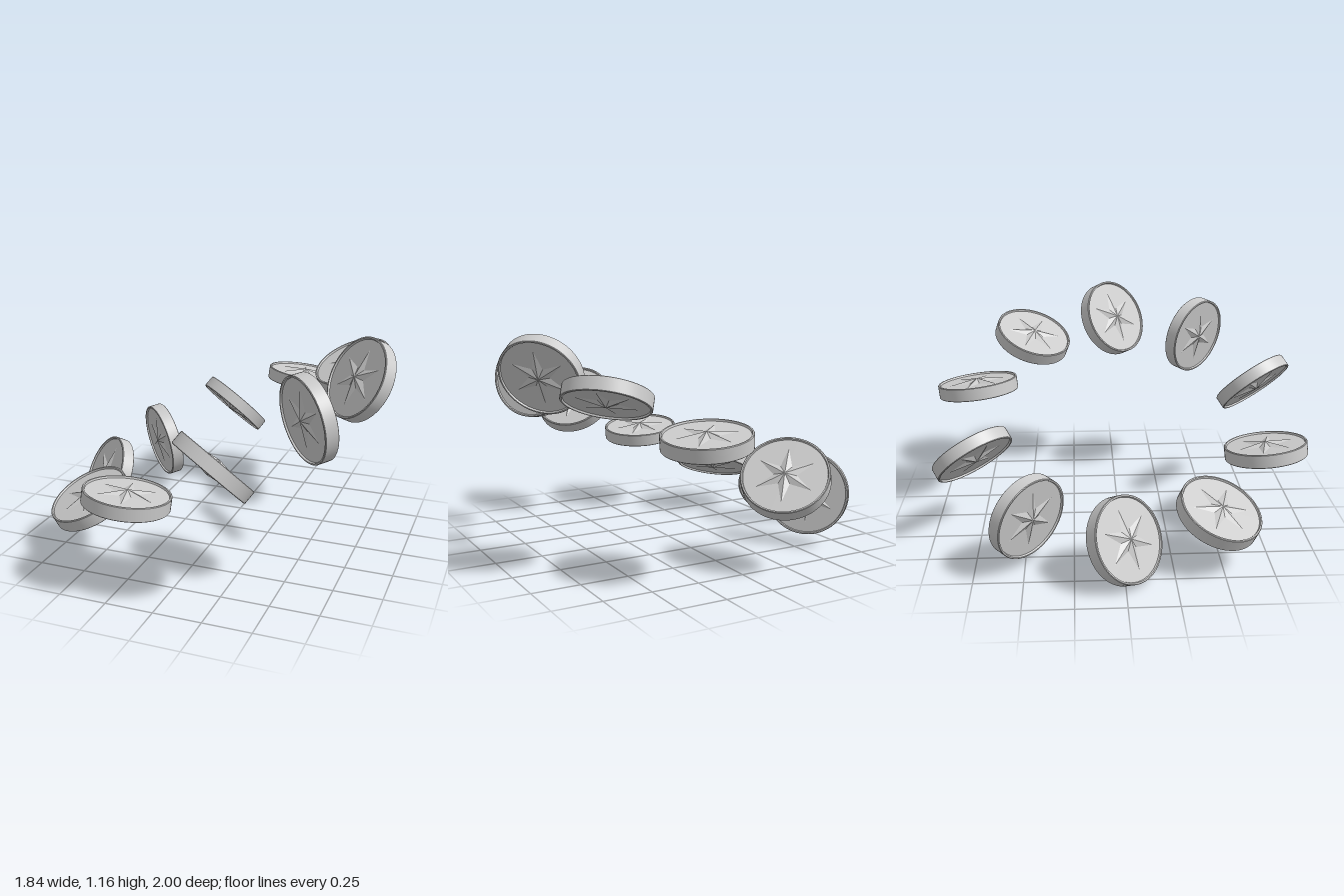
import * as THREE from 'three';
import { toCreasedNormals } from 'three/addons/utils/BufferGeometryUtils.js';

const COUNT = 10, STEP = Math.PI * 2 / COUNT;
const RADIUS = 0.22, HALF = 0.036, FACE = 0.026, LIP = 0.207;
const material = new THREE.MeshStandardMaterial({ color: 0xcccccc });

// Disc with a thin raised lip around a recessed face on both sides
function discGeometry() {
  const profile = [
    [0, -FACE], [LIP, -FACE], [LIP + 0.003, -HALF], [RADIUS - 0.003, -HALF], [RADIUS, -HALF + 0.003],
    [RADIUS, HALF - 0.003], [RADIUS - 0.003, HALF], [LIP + 0.003, HALF], [LIP, FACE], [0, FACE],
  ].map(([r, y]) => new THREE.Vector2(r, y));
  return toCreasedNormals(new THREE.LatheGeometry(profile, 64), 0.5);
}

// Faceted six-pointed star: a cone whose alternate base corners are drawn in
function starGeometry(outer, inner, height) {
  const cone = new THREE.ConeGeometry(1, height, 12, 1, true);
  const pos = cone.attributes.position;
  for (let i = 0; i < pos.count; i++) {
    const r = (i % 13) % 2 === 0 ? outer : inner;
    pos.setXYZ(i, pos.getX(i) * r, pos.getY(i) + height / 2 + FACE, pos.getZ(i) * r);
  }
  const star = cone.toNonIndexed();
  star.computeVertexNormals();
  return star;
}

export function createModel() {
  const model = new THREE.Group();
  model.name = 'coinRing';
  const disc = discGeometry();
  const star = starGeometry(0.157, 0.057, 0.02);

  // The coins sit on a tilted ring and tumble about one shared horizontal axis
  const axis = new THREE.Vector3(1, 0, 1).normalize();
  const side = new THREE.Vector3(-1, 0, 1).normalize();
  const up = new THREE.Vector3(0, 1, 0);

  for (let i = 0; i < COUNT; i++) {
    const coin = new THREE.Group();
    coin.name = `coin${i + 1}`;
    const body = new THREE.Mesh(disc, material);
    body.name = 'disc';
    const front = new THREE.Mesh(star, material);
    front.name = 'frontStar';
    const back = new THREE.Mesh(star, material);
    back.name = 'backStar';
    back.rotation.x = Math.PI;
    coin.add(body, front, back);

    const place = -2 * STEP + i * STEP;
    const tumble = THREE.MathUtils.degToRad(-9) + i * STEP;
    const normal = up.clone().multiplyScalar(Math.cos(tumble)).addScaledVector(side, Math.sin(tumble));
    const across = axis.clone().cross(normal);
    coin.quaternion.setFromRotationMatrix(new THREE.Matrix4().makeBasis(axis, normal, across));
    coin.position.set(0.73 * Math.cos(place), 0.58 + 0.367 * Math.cos(place), 0.817 * Math.sin(place));
    model.add(coin);
  }
  return model;
}
